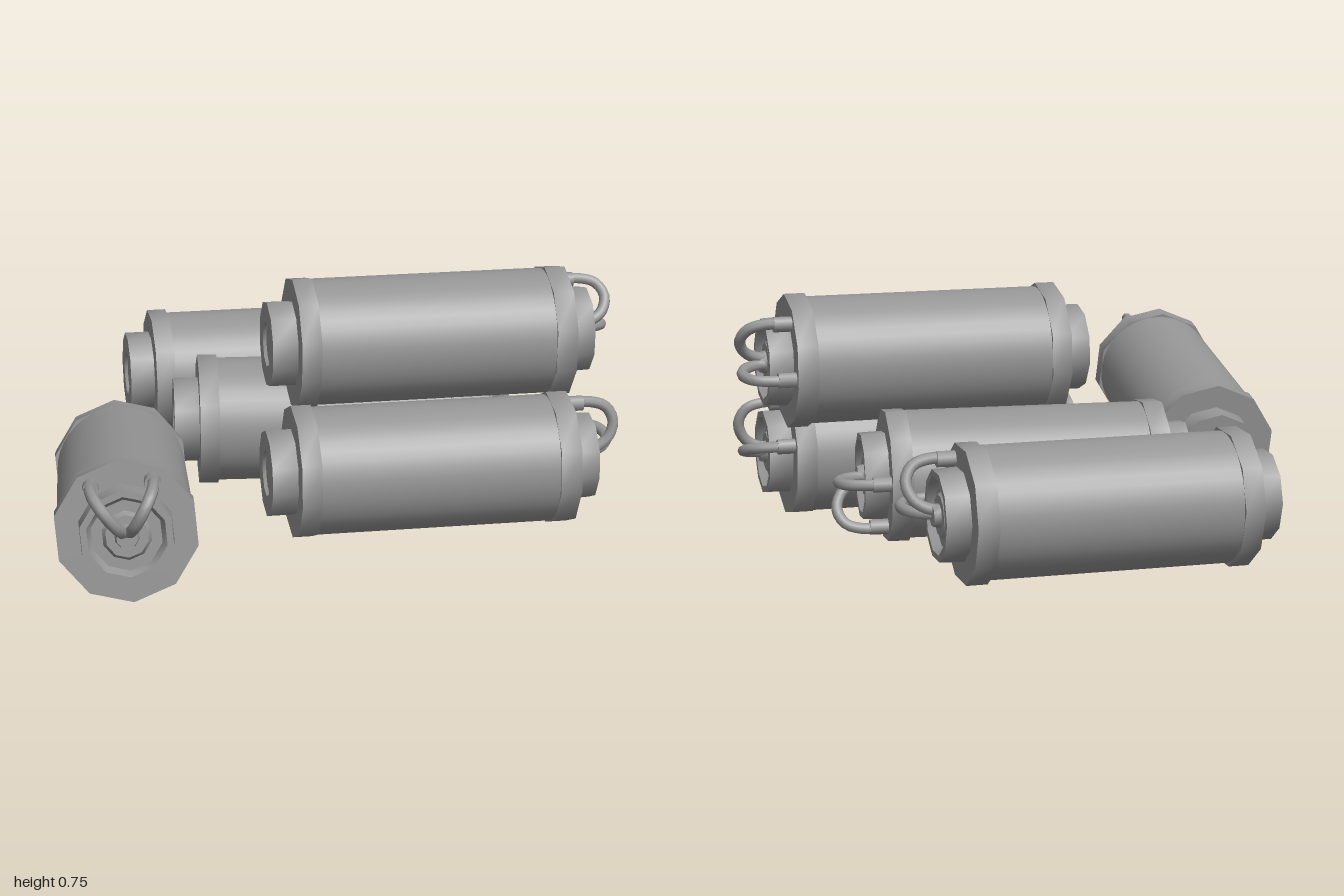
import * as THREE from 'three';
import { toCreasedNormals } from 'three/addons/utils/BufferGeometryUtils.js';

const DEG = Math.PI / 180;
const metal = new THREE.MeshStandardMaterial({ color: 0x959595 });

// Ten-sided turned part along the z axis, smooth around and sharp at its steps; profile is [radius, z]
function turned(profile) {
  const points = profile.map(([r, z]) => new THREE.Vector2(r, z));
  const lathe = new THREE.LatheGeometry(points, 10, Math.PI / 10).rotateX(Math.PI / 2);
  return toCreasedNormals(lathe, 40 * DEG);
}

const bodyGeo = new THREE.CylinderGeometry(0.192, 0.192, 0.8, 40, 1, true).rotateX(Math.PI / 2);

// Rear: recessed disc, stepped cap and collar
const rearGeo = turned([
  [0, -0.487], [0.065, -0.487], [0.07, -0.497], [0.132, -0.497],
  [0.132, -0.42], [0.203, -0.42], [0.203, -0.36], [0.18, -0.36],
]);

// Front: collar, rimmed cap and stepped hub
const frontGeo = turned([
  [0.18, 0.36], [0.203, 0.36], [0.203, 0.423], [0.135, 0.423], [0.132, 0.495],
  [0.113, 0.495], [0.1, 0.47], [0.07, 0.47], [0.06, 0.485],
  [0.035, 0.485], [0.03, 0.505], [0, 0.505],
]);

// Wire arching from the collar back to the hub, in the local xz plane
const wireGeo = new THREE.TubeGeometry(new THREE.CatmullRomCurve3([
  [0.16, 0.42], [0.163, 0.5], [0.145, 0.55], [0.1, 0.572],
  [0.05, 0.555], [0.022, 0.515], [0.015, 0.47],
].map(([x, z]) => new THREE.Vector3(x, 0, z))), 20, 0.017, 8);
const plugGeo = new THREE.CylinderGeometry(0.023, 0.023, 0.06, 10)
  .rotateX(Math.PI / 2).translate(0.16, 0, 0.447);

function add(parent, name, geometry) {
  const mesh = new THREE.Mesh(geometry, metal);
  mesh.name = name;
  parent.add(mesh);
  return mesh;
}

// Canister pointing along +z, with its pair of wires centred on the roll angle
function canister(roll) {
  const group = new THREE.Group();
  add(group, 'body', bodyGeo);
  const ends = new THREE.Group();
  ends.name = 'endsAndWires';
  ends.rotation.z = roll * DEG;
  group.add(ends);
  add(ends, 'rearCap', rearGeo);
  add(ends, 'frontCap', frontGeo);
  for (const side of [-1, 1]) {
    add(ends, 'wire', wireGeo).rotation.z = side * 32 * DEG;
    add(ends, 'wirePlug', plugGeo).rotation.z = side * 32 * DEG;
  }
  return group;
}

export function createModel() {
  const model = new THREE.Group();
  model.name = 'canisterPile';
  const layout = [
    { name: 'backCanister', at: [0.26, 0.229, -0.635], yaw: 75.4, pitch: 0, roll: 143 },
    { name: 'middleCanister', at: [0.214, 0.229, -0.1], yaw: 70, pitch: 0, roll: -30 },
    { name: 'topCanister', at: [0.4, 0.555, 0.19], yaw: 75.4, pitch: 0, roll: 21 },
    { name: 'frontCanister', at: [0.3, 0.229, 0.414], yaw: 75.4, pitch: 0, roll: 48 },
    { name: 'tiltedCanister', at: [-0.668, 0.262, 0.374], yaw: -19.8, pitch: -8, roll: 95 },
  ];
  for (const { name, at, yaw, pitch, roll } of layout) {
    const can = canister(roll);
    can.name = name;
    can.position.set(...at);
    can.rotation.set(pitch * DEG, yaw * DEG, 0, 'YXZ');
    model.add(can);
  }
  return model;
}
